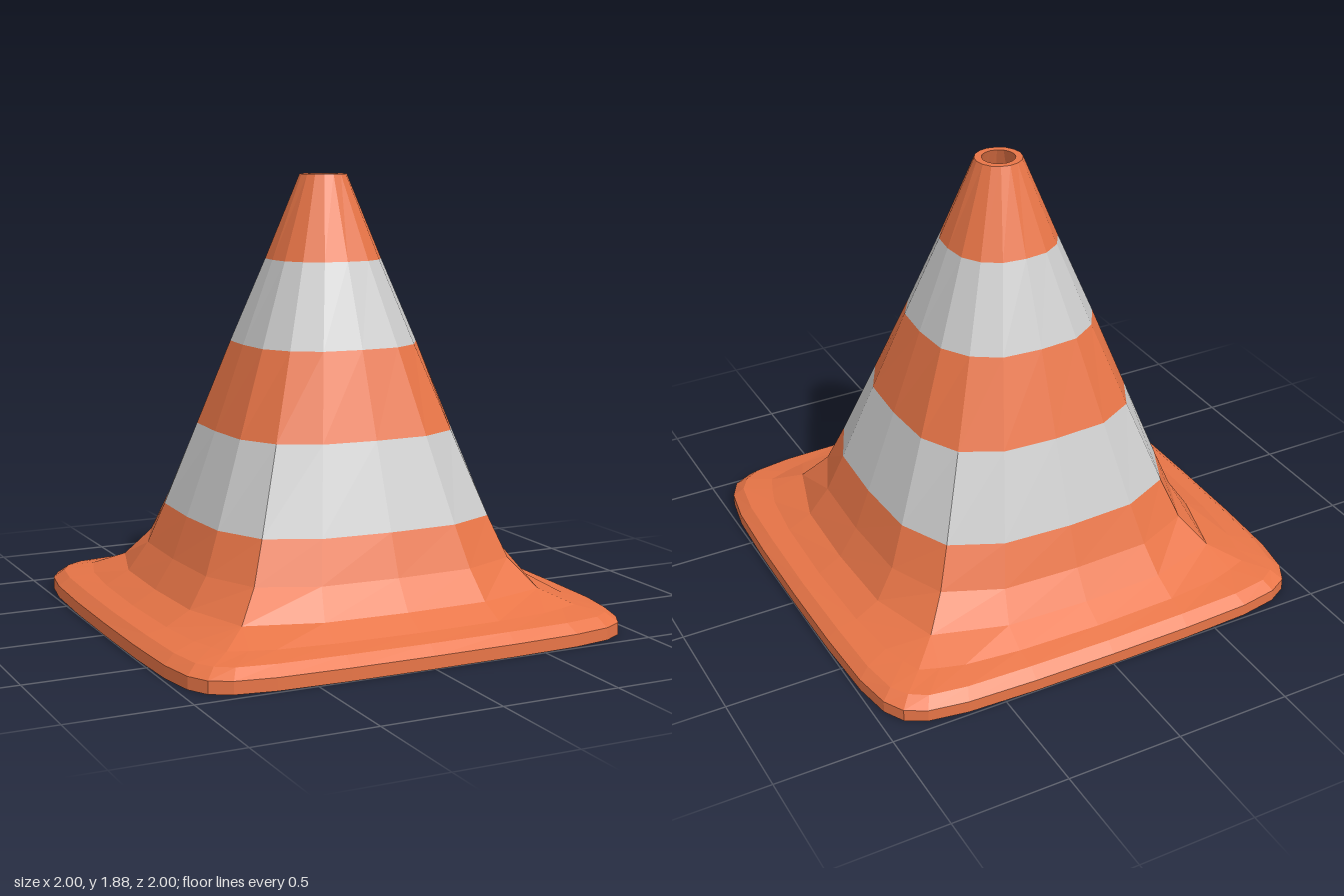
import * as THREE from 'three';

// Ring sections: height, then one octant from side middle to corner as [along, out] pairs
const slim = (y, mid, b, c, k) => ({ y, pts: [[0, mid], [b, c], [k, k], [k, k], [k, k]] });
const wide = (y, mid, ...pts) => ({ y, pts: [[0, mid], ...pts] });

const baseRows = [
  wide(0, 1.0, [0.36, 0.997], [0.66, 0.985], [0.825, 0.957], [0.91, 0.91]),
  wide(0.052, 1.0, [0.36, 0.997], [0.66, 0.985], [0.825, 0.957], [0.91, 0.91]),
  wide(0.09, 0.955, [0.36, 0.95], [0.64, 0.94], [0.8, 0.915], [0.87, 0.87]),
  wide(0.112, 0.875, [0.365, 0.865], [0.6, 0.84], [0.7, 0.81], [0.78, 0.78]),
];
const coneRows = [
  slim(0.168, 0.775, 0.36, 0.763, 0.67),
  slim(0.29, 0.695, 0.335, 0.682, 0.577),
  slim(0.463, 0.63, 0.3, 0.615, 0.515),
  slim(0.815, 0.5, 0.235, 0.487, 0.4),
  slim(1.17, 0.37, 0.17, 0.357, 0.285),
  slim(1.52, 0.235, 0.1, 0.224, 0.176),
  slim(1.875, 0.1, 0.038, 0.092, 0.071),
];

// Mirror an octant into a full closed ring, running from +z towards +x
function ring({ y, pts }) {
  const quarter = [
    ...pts.map(([a, o]) => [a, o]),
    ...pts.slice(1, -1).reverse().map(([a, o]) => [o, a]),
  ];
  const out = [];
  for (let q = 0; q < 4; q++) {
    const c = Math.round(Math.cos(q * Math.PI / 2)), s = Math.round(Math.sin(q * Math.PI / 2));
    for (const [x, z] of quarter) out.push(new THREE.Vector3(x * c + z * s, y, z * c - x * s));
  }
  return out;
}

// Skin a run of rings, leaving out collapsed triangles
function loft(rows) {
  const rings = rows.map(ring), n = rings[0].length, pos = [];
  const tri = (a, b, c) => {
    const area = b.clone().sub(a).cross(c.clone().sub(a)).length();
    if (area > 1e-7) pos.push(...a.toArray(), ...b.toArray(), ...c.toArray());
  };
  for (let i = 0; i < rings.length - 1; i++) {
    for (let j = 0; j < n; j++) {
      const k = (j + 1) % n;
      const [a, b, c, d] = [rings[i][j], rings[i][k], rings[i + 1][k], rings[i + 1][j]];
      tri(a, b, c);
      tri(a, c, d);
    }
  }
  const geo = new THREE.BufferGeometry();
  geo.setAttribute('position', new THREE.Float32BufferAttribute(pos, 3));
  geo.computeVertexNormals();
  return geo;
}

// Inner wall section: pulled in by the wall thickness and optionally lowered
function inset(row, t, drop = 0) {
  const s = (row.pts[0][1] - t) / row.pts[0][1];
  return { y: row.y - drop, pts: row.pts.map(([a, o]) => [a * s, o * s]) };
}

export function createModel() {
  const group = new THREE.Group();
  const orange = new THREE.MeshStandardMaterial({ color: 0xe87547, flatShading: true });
  const grey = new THREE.MeshStandardMaterial({ color: 0xcccccc, flatShading: true });
  const add = (name, rows, material) => {
    const mesh = new THREE.Mesh(loft(rows), material);
    mesh.name = name;
    group.add(mesh);
  };

  const inner = coneRows.map((r) => inset(r, 0.03));
  const innerBase = [
    inset(baseRows[0], 0.04),
    inset(baseRows[1], 0.04),
    inset(baseRows[2], 0.03, 0.025),
    inset(baseRows[3], 0.03, 0.025),
  ];

  // Square flange with its underside and bottom rim
  add('baseFlange', [...baseRows, coneRows[0]], orange);
  add('baseUnderside', [inner[0], ...innerBase.slice().reverse(), baseRows[0]], orange);

  // Stacked bands of the hollow cone, each with outer and inner wall
  const bands = [
    ['lowerCone', 0, 2, orange],
    ['lowerStripe', 2, 3, grey],
    ['middleCone', 3, 4, orange],
    ['upperStripe', 4, 5, grey],
    ['coneTip', 5, 6, orange],
  ];
  for (const [name, from, to, material] of bands) {
    add(name, coneRows.slice(from, to + 1), material);
    add(name + 'Inside', inner.slice(from, to + 1).reverse(), material);
  }

  // Lip around the top hole
  add('topRim', [coneRows[6], inner[6]], orange);
  return group;
}
